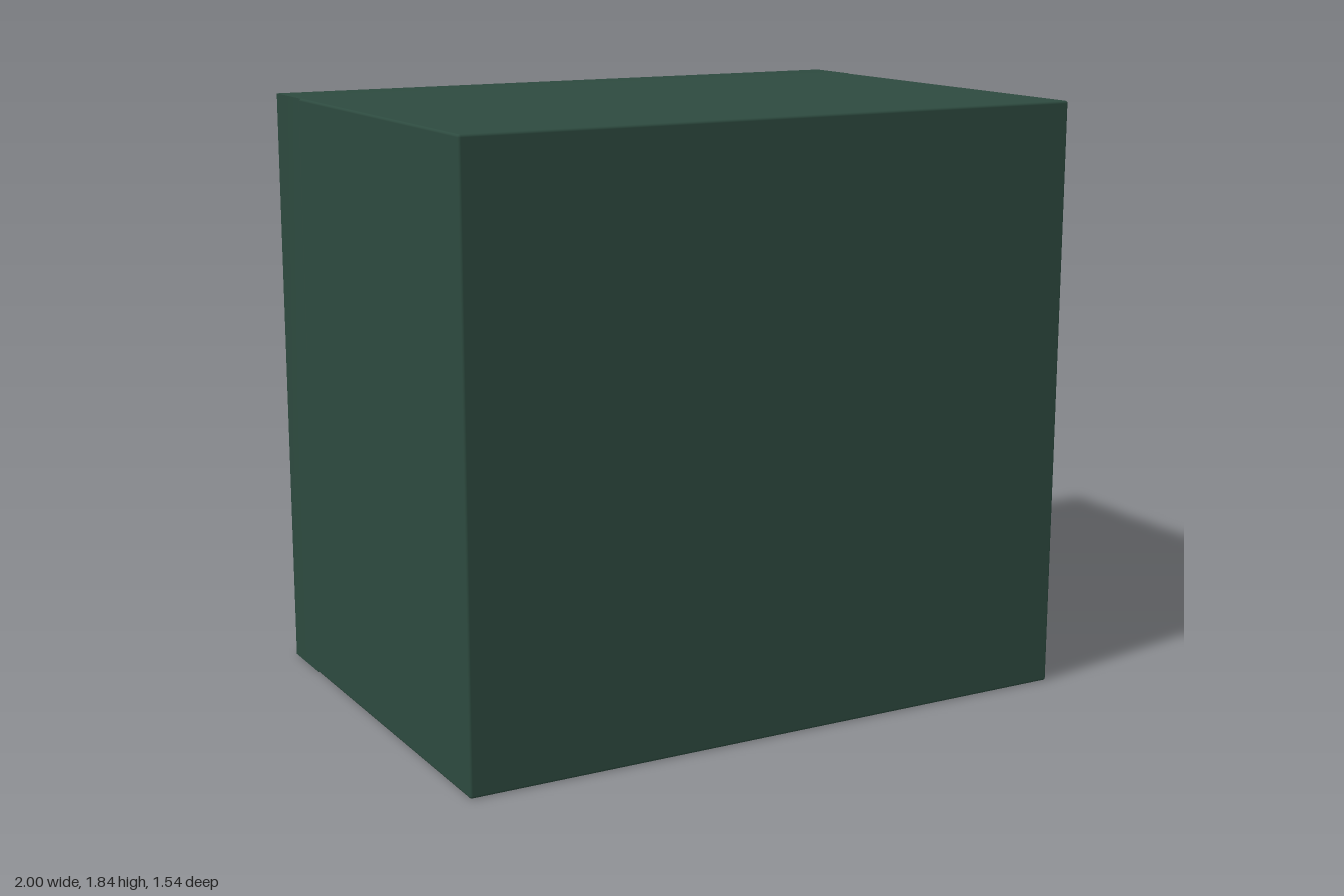
import * as THREE from 'three';
import { RoundedBoxGeometry } from 'three/addons/geometries/RoundedBoxGeometry.js';
import { toCreasedNormals } from 'three/addons/utils/BufferGeometryUtils.js';

const green = new THREE.MeshStandardMaterial({ color: 0x2d4a3f });
const gold = new THREE.MeshStandardMaterial({ color: 0xb38f2a });
const black = new THREE.MeshStandardMaterial({ color: 0x38383b });

function add(parent, name, geometry, material, x = 0, y = 0, z = 0) {
  const mesh = new THREE.Mesh(geometry, material);
  mesh.name = name;
  mesh.position.set(x, y, z);
  parent.add(mesh);
  return mesh;
}

// Rounded box given by its limits on each axis
function block(parent, name, [x0, x1], [y0, y1], [z0, z1], radius) {
  const geometry = new RoundedBoxGeometry(x1 - x0, y1 - y0, z1 - z0, 3, radius);
  return add(parent, name, geometry, green, (x0 + x1) / 2, (y0 + y1) / 2, (z0 + z1) / 2);
}

// Bevelled disc whose base is at the origin and which rises towards -z
function disc(radius, height, bevel) {
  const profile = [
    [0, 0], [radius, 0], [radius, height - bevel],
    [radius - bevel * 0.3, height - bevel * 0.3], [radius - bevel, height], [0, height],
  ].map(([r, h]) => new THREE.Vector2(r, h));
  return toCreasedNormals(new THREE.LatheGeometry(profile, 48).rotateX(-Math.PI / 2), 0.9);
}

function rectangle(target, x0, x1, y0, y1) {
  target.moveTo(x0, y0);
  target.lineTo(x1, y0);
  target.lineTo(x1, y1);
  target.lineTo(x0, y1);
  target.closePath();
  return target;
}

export function createModel() {
  const safe = new THREE.Group();
  safe.name = 'safe';

  // Body: solid rear block, with a bevelled frame round the door opening
  const bevel = 0.008;
  block(safe, 'body', [-1, 1], [0, 1.835], [-0.5, 0.77], bevel);
  const outline = rectangle(new THREE.Shape(), -1 + bevel, 1 - bevel, bevel, 1.835 - bevel);
  outline.holes.push(rectangle(new THREE.Path(), -0.848, 0.848, 0.157, 1.678));
  const frame = new THREE.ExtrudeGeometry(outline, {
    depth: 0.2, bevelEnabled: true, bevelSize: bevel, bevelThickness: bevel, bevelSegments: 2,
  });
  add(safe, 'doorFrame', toCreasedNormals(frame, 0.6), green, 0, 0, -0.625 + bevel);

  // Door sits in the opening with a narrow gap and carries a raised panel
  const door = new THREE.Group();
  door.name = 'door';
  safe.add(door);
  block(door, 'doorSlab', [-0.825, 0.81], [0.18, 1.645], [-0.625, -0.49], 0.01);
  block(door, 'doorPanel', [-0.73, 0.715], [0.27, 1.555], [-0.66, -0.61], 0.012);

  // Combination dial: gold ring with studs and a dark knob
  const dial = new THREE.Group();
  dial.name = 'dial';
  dial.position.set(-0.175, 0.99, -0.655);
  door.add(dial);
  add(dial, 'dialRing', disc(0.182, 0.038, 0.008), gold);
  add(dial, 'dialKnob', disc(0.132, 0.115, 0.006), black);
  const studs = 20;
  for (let i = 0; i < studs; i++) {
    const a = (i / studs) * Math.PI * 2;
    add(dial, 'dialStud', new THREE.SphereGeometry(0.009, 10, 8), gold,
      0.158 * Math.cos(a), 0.158 * Math.sin(a), -0.04);
  }

  // Handle: round hub with a lever hanging down
  const handle = new THREE.Group();
  handle.name = 'handle';
  handle.position.set(0.488, 0.99, -0.655);
  door.add(handle);
  add(handle, 'handleHub', disc(0.058, 0.075, 0.006), gold);
  const lever = new THREE.CylinderGeometry(0.024, 0.024, 0.3, 24);
  add(handle, 'handleLever', lever, gold, 0, -0.15, -0.074);

  return safe;
}
